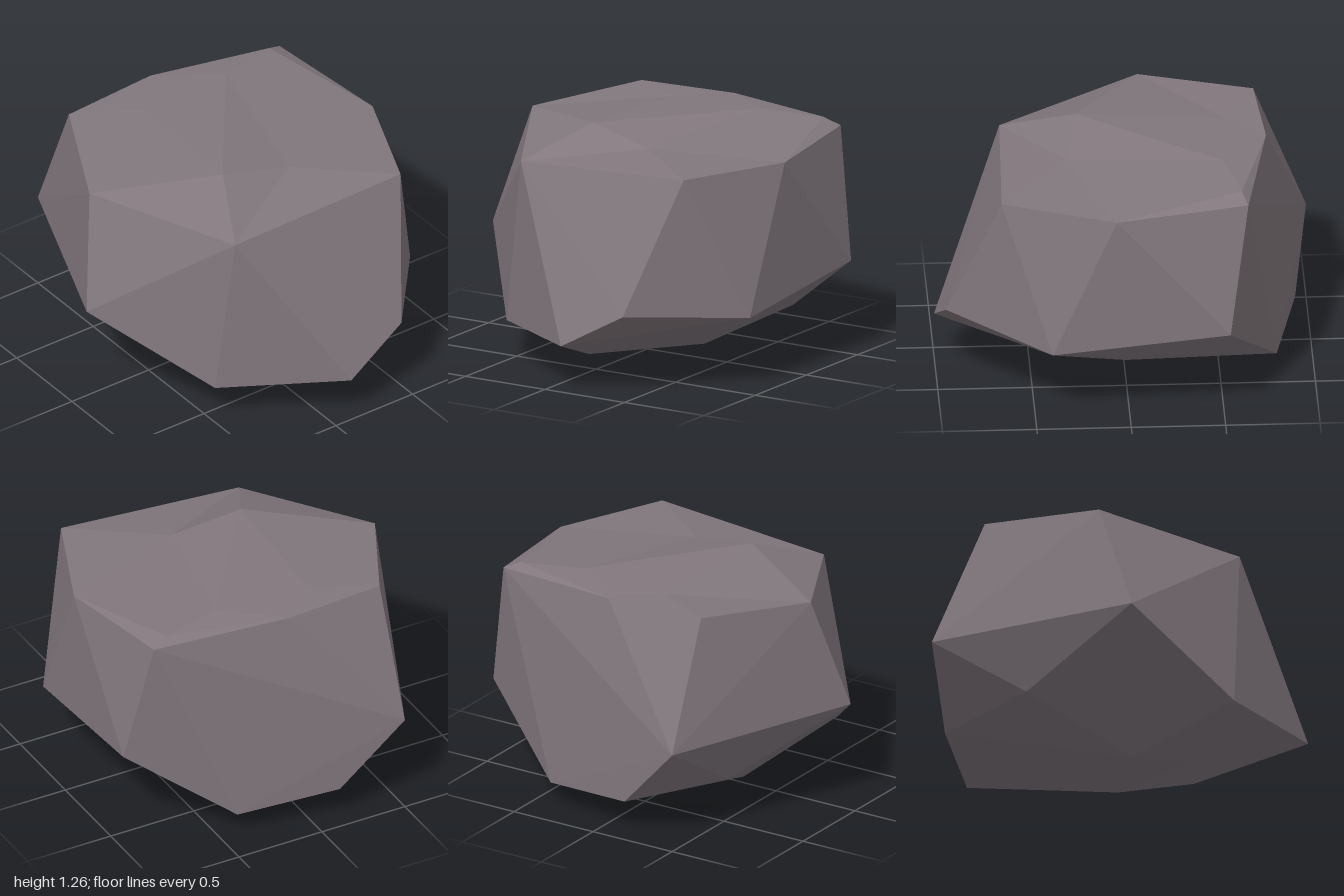
import * as THREE from 'three';
import { ConvexGeometry } from 'three/addons/geometries/ConvexGeometry.js';

const V = (x, y, z) => new THREE.Vector3(x, y, z);

// Corners of the broad, slightly uneven crown
const rim = {
  B: V(-0.8, 1.19, -0.12), C: V(-0.39, 1.11, 0.63), D: V(0.66, 1.165, 0.67),
  E: V(0.91, 1.165, 0.07), F: V(0.81, 1.2, -0.63), O: V(0.06, 1.24, -0.76),
  N: V(-0.5, 1.24, -0.72),
};

// Bumps and dips inside the crown
const inner = {
  T: V(-0.19, 1.265, 0.24), S: V(0.2, 1.19, 0.3), W: V(-0.16, 1.24, -0.55),
  X: V(0.38, 1.255, -0.52), U: V(0.72, 1.24, -0.6),
};

// Corners around the belly, then the underside
const lower = [
  V(-0.94, 0.58, 0.05), V(-0.5, 0.22, 0.6), V(0.1, 0.25, 1), V(0.46, 0.45, 0.955),
  V(0.91, 0.39, 0.41), V(0.94, 0.5, -0.53), V(-0.5, 0.55, -1),
  V(0.4, 0.12, -0.8), V(-0.15, 0.18, -0.925), V(-0.53, 0.25, -0.5),
  V(-0.25, 0, 0.07), V(-0.13, 0.035, 0.37), V(0.36, 0.08, 0),
];

// Crown facets, named by their corners
const crownFacets = 'CTS BCT CDS DES ESU EFU FOU OXU SUX SXT TXW OWX ONW NBW BTW'.split(' ');

function facetGeometry(points) {
  const geometry = new THREE.BufferGeometry().setFromPoints(points);
  geometry.computeVertexNormals();
  return geometry;
}

// Hull facets below the crown
function bodyGeometry() {
  const hull = new ConvexGeometry([...Object.values(rim), ...lower]).getAttribute('position');
  const points = [];
  for (let i = 0; i < hull.count; i += 3) {
    const tri = [0, 1, 2].map((k) => new THREE.Vector3().fromBufferAttribute(hull, i + k));
    if (!tri.every((p) => p.y > 1.1)) points.push(...tri);
  }
  return facetGeometry(points);
}

// Crown facets, each turned to face upward
function crownGeometry() {
  const corners = { ...rim, ...inner };
  const points = [];
  for (const facet of crownFacets) {
    const [a, b, c] = [...facet].map((k) => corners[k]);
    const up = b.clone().sub(a).cross(c.clone().sub(a)).y > 0;
    points.push(a, ...(up ? [b, c] : [c, b]));
  }
  return facetGeometry(points);
}

export function createModel() {
  const group = new THREE.Group();
  group.name = 'boulder';
  const stone = new THREE.MeshStandardMaterial({ color: 0x81777d, flatShading: true });
  stone.name = 'stone';

  const body = new THREE.Mesh(bodyGeometry(), stone);
  body.name = 'boulderBody';
  const crown = new THREE.Mesh(crownGeometry(), stone);
  crown.name = 'boulderCrown';
  group.add(body, crown);
  return group;
}
